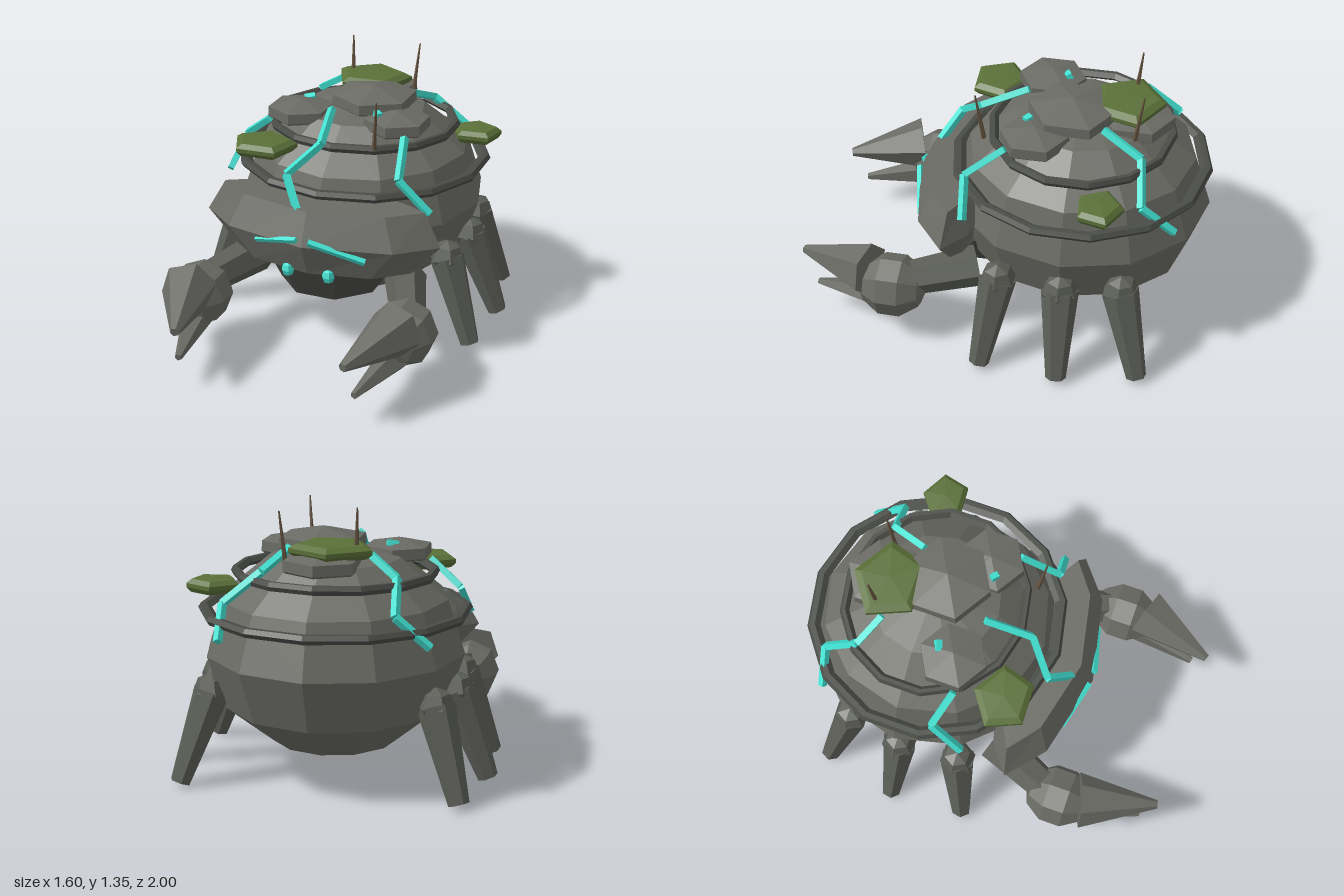
import * as THREE from 'three';

const mat = (name, color) => {
  const m = new THREE.MeshStandardMaterial({ color });
  m.name = name;
  return m;
};
const V = (x, y, z) => new THREE.Vector3(x, y, z);

export function createModel() {
  const model = new THREE.Group();
  const stone = mat('stone grey', 0x6b6b65);
  const limb = mat('limb grey', 0x5c5e57);
  const dark = mat('dark grey', 0x4a4c47);
  const moss = mat('moss green', 0x5a7038);
  const glow = mat('glowing teal', 0x40e0d0);
  const bark = mat('twig brown', 0x665440);

  // Adds a faceted mesh
  const add = (name, geo, material, pos = [0, 0, 0], parent = model) => {
    const g = geo.index ? geo.toNonIndexed() : geo;
    g.computeVertexNormals();
    const mesh = new THREE.Mesh(g, material);
    mesh.name = name;
    mesh.position.set(...pos);
    parent.add(mesh);
    return mesh;
  };

  // Tapered bar from a to b
  const bar = (name, a, b, ra, rb, sides, material, parent = model) => {
    const dir = b.clone().sub(a);
    const geo = new THREE.CylinderGeometry(rb, ra, dir.length(), sides);
    geo.applyQuaternion(new THREE.Quaternion().setFromUnitVectors(V(0, 1, 0), dir.normalize()));
    const mid = a.clone().add(b).multiplyScalar(0.5);
    return add(name, geo, material, mid.toArray(), parent);
  };

  // Turned shape from [radius, height] pairs, lowest first
  const turned = (profile, sides) =>
    new THREE.LatheGeometry(profile.map(([r, h]) => new THREE.Vector2(r, h)), sides);

  // Round shell body
  add('shell', new THREE.SphereGeometry(1, 12, 6).scale(0.63, 0.515, 0.65), stone, [0, 0.63, -0.35]);

  // Raised bands round the shell
  for (const [y, rx, rz] of [[0.825, 0.66, 0.65], [1.005, 0.5, 0.465]]) {
    const profile = [[0.9, 0], [0.94, -0.021], [0.98, -0.021], [1, 0], [0.98, 0.021], [0.94, 0.021], [0.9, 0]];
    add('shellBand', turned(profile, 14).scale(rx, 1, rz), dark, [0, y, -0.35]);
  }

  // Face plate from three stacked rings
  const ring = (y, half) => {
    const left = half.slice(1, -1).reverse().map(([x, z]) => [-x, z]);
    return [...half, ...left].map(([x, z]) => V(x, y, z));
  };
  const rings = [
    ring(0.46, [[0, 0.41], [0.31, 0.35], [0.47, 0.22], [0.42, 0.17], [0, 0]]),
    ring(0.63, [[0, 0.48], [0.43, 0.385], [0.62, 0.23], [0.48, 0.12], [0, 0]]),
    ring(0.79, [[0, 0.41], [0.37, 0.33], [0.53, 0.21], [0.44, 0.16], [0, 0]]),
  ];
  const tris = [];
  const n = rings[0].length;
  for (let i = 0; i < n; i++) {
    const j = (i + 1) % n;
    for (let k = 0; k < 2; k++) {
      const [a, b, c, d] = [rings[k][i], rings[k][j], rings[k + 1][j], rings[k + 1][i]];
      tris.push(a, b, c, a, c, d);
    }
    tris.push(V(0, 0.79, 0.15), rings[2][i], rings[2][j]);
    tris.push(V(0, 0.46, 0.15), rings[0][j], rings[0][i]);
  }
  add('facePlate', new THREE.BufferGeometry().setFromPoints(tris), stone);

  // Jaw, eyes and brow slits
  add('jaw', turned([[0, -0.125], [0.27, -0.08], [0.36, 0.1]], 8).rotateY(Math.PI / 8), dark, [0, 0.365, 0.06]);
  for (const s of [1, -1]) {
    add('eye', new THREE.SphereGeometry(0.037, 6, 4).scale(0.9, 1, 0.9), glow, [s * 0.107, 0.458, 0.398]);
  }
  bar('browSlit', V(0.033, 0.66, 0.474), V(0.3, 0.573, 0.406), 0.018, 0.018, 4, glow);
  bar('browSlit', V(-0.03, 0.66, 0.47), V(-0.27, 0.6, 0.41), 0.016, 0.016, 4, glow);

  // Stone slabs on top: x, y, z, radius
  const slabs = [
    [0.07, 1.14, -0.31, 0.22], [-0.27, 1.08, -0.155, 0.17],
    [0.25, 1.085, -0.155, 0.17], [0, 1.09, -0.61, 0.19],
  ];
  for (const [x, y, z, r] of slabs) {
    const profile = [[0, -0.04], [r * 0.93, -0.035], [r, -0.025], [r * 0.98, 0.025], [0, 0.025 + r * 0.21]];
    add('stoneSlab', turned(profile, 6), stone, [x, y, z]);
  }

  // Moss patches: x, y, z, radius, turn
  const patches = [
    [-0.035, 1.15, -0.565, 0.195, 3.2], [0.555, 0.945, -0.515, 0.125, 3.25], [-0.35, 0.98, 0.13, 0.16, 3.2],
  ];
  for (const [x, y, z, r, turn] of patches) {
    const profile = [[0, -0.033], [r * 0.85, -0.033], [r, -0.01], [r, 0.01], [r * 0.8, 0.03], [0, 0.036]];
    add('mossPatch', turned(profile, 5).rotateY(turn).scale(1.06, 1, 0.93), moss, [x, y, z]);
  }

  // Thin twigs
  bar('twig', V(-0.155, 1.15, -0.59), V(-0.163, 1.355, -0.61), 0.013, 0.004, 5, bark);
  bar('twig', V(0.172, 1.08, -0.625), V(0.19, 1.335, -0.66), 0.013, 0.004, 5, bark);
  bar('twig', V(0.225, 1.03, 0.095), V(0.245, 1.28, 0.13), 0.013, 0.004, 5, bark);

  // Glowing cracks as jointed paths
  const cracks = [
    [[-0.065, 1.14, -0.07], [-0.03, 1.04, 0.16], [-0.16, 0.91, 0.285], [-0.06, 0.775, 0.385]],
    [[0.335, 1.06, -0.03], [0.375, 0.91, 0.16], [0.53, 0.755, 0.14]],
    [[-0.42, 1.03, -0.1], [-0.575, 0.91, -0.16], [-0.605, 0.76, 0]],
    [[-0.21, 1.13, -0.54], [-0.35, 1.04, -0.62], [-0.375, 0.9, -0.79], [-0.53, 0.76, -0.76]],
    [[0.19, 1.13, -0.475], [0.275, 1.05, -0.67], [0.455, 0.9, -0.7], [0.43, 0.76, -0.86]],
    [[-0.28, 1.115, -0.225], [-0.23, 1.125, -0.245]],
    [[0.15, 1.13, -0.12], [0.18, 1.125, -0.095]],
  ];
  for (const path of cracks) {
    const crack = new THREE.Group();
    crack.name = 'glowingCrack';
    model.add(crack);
    for (let i = 1; i < path.length; i++) {
      bar('crackSegment', V(...path[i - 1]), V(...path[i]), 0.022, 0.022, 4, glow, crack);
    }
  }

  // Legs: knee x, knee z, foot x, foot z
  const legs = [[0.57, -0.04, 0.725, 0.025], [0.59, -0.35, 0.755, -0.365], [0.54, -0.635, 0.67, -0.75]];
  for (const s of [1, -1]) {
    const side = s > 0 ? 'left' : 'right';
    for (const [kx, kz, fx, fz] of legs) {
      const leg = new THREE.Group();
      leg.name = side + 'Leg';
      model.add(leg);
      const knee = V(s * kx, 0.45, kz);
      bar('legShaft', knee, V(s * fx, 0.025, fz), 0.092, 0.05, 6, limb, leg);
      add('knee', new THREE.SphereGeometry(0.092, 6, 4), limb, knee.toArray(), leg);
    }

    // Arm with palm and two pincers
    const arm = new THREE.Group();
    arm.name = side + 'Arm';
    model.add(arm);
    bar('upperArm', V(s * 0.4, 0.37, 0.1), V(s * 0.53, 0.34, 0.42), 0.105, 0.085, 6, limb, arm);
    const palm = new THREE.SphereGeometry(1, 8, 5).rotateX(Math.PI / 2).scale(0.16, 0.165, 0.175);
    add('palm', palm, stone, [s * 0.54, 0.295, 0.5], arm);
    bar('upperPincer', V(s * 0.545, 0.375, 0.61), V(s * 0.422, 0.345, 0.99), 0.14, 0.022, 6, stone, arm);
    bar('lowerPincer', V(s * 0.53, 0.205, 0.56), V(s * 0.45, 0.165, 0.92), 0.08, 0.018, 5, stone, arm);
  }
  return model;
}
